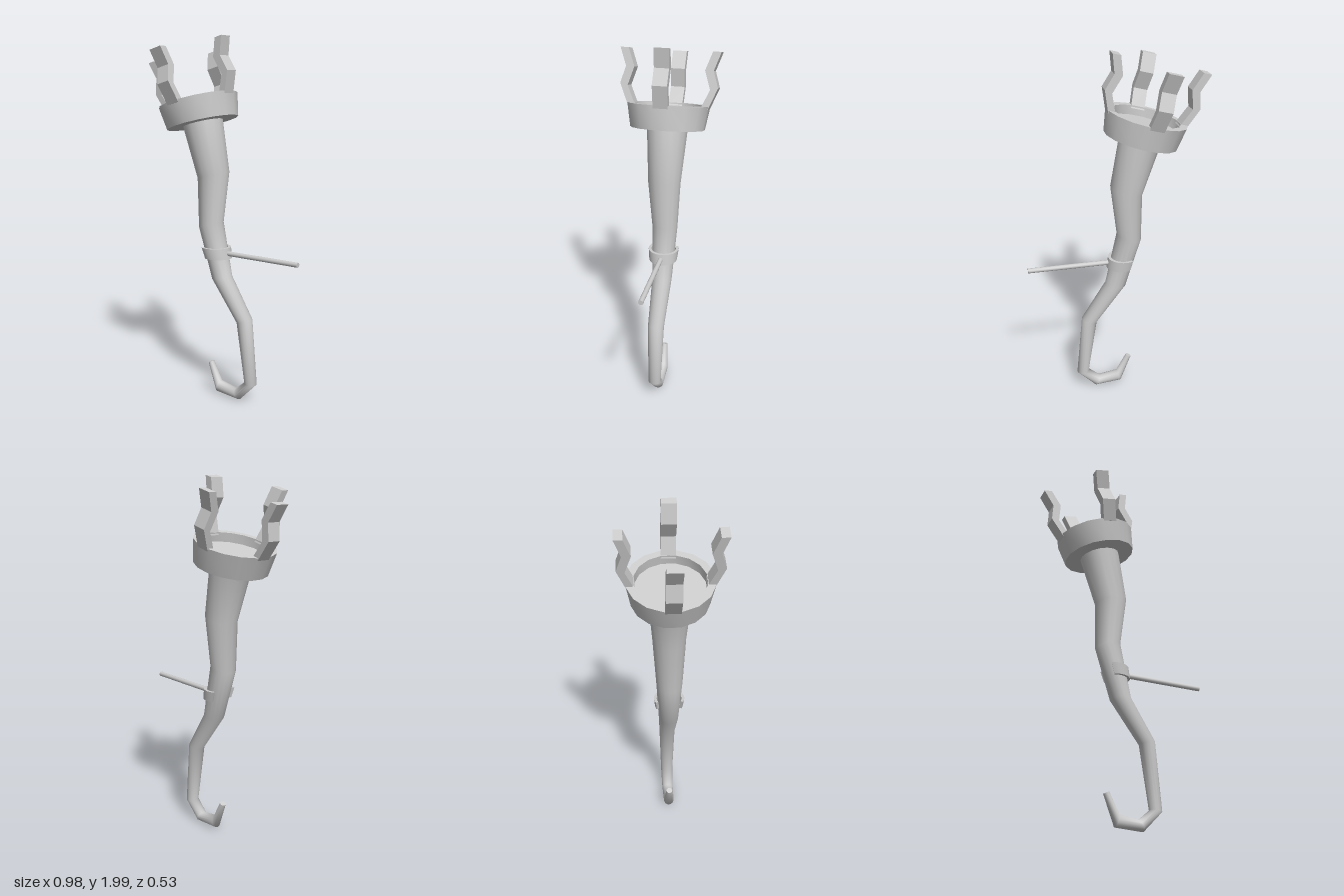
import * as THREE from 'three';
import { toCreasedNormals } from 'three/addons/utils/BufferGeometryUtils.js';

const material = new THREE.MeshStandardMaterial({ color: 0xcccccc });

function addMesh(parent, name, geometry) {
  const mesh = new THREE.Mesh(geometry, material);
  mesh.name = name;
  parent.add(mesh);
  return mesh;
}

// Crooked tapering stem: each row is [inner x, y, outer x, y, half depth]
function stemGeometry() {
  const rows = [
    [-0.25, 1.53, -0.03, 1.587, 0.112],
    [-0.237, 1.51, -0.02, 1.565, 0.11],
    [-0.143, 1.235, 0.03, 1.28, 0.089],
    [-0.14, 0.965, -0.005, 1.0, 0.071],
    [-0.053, 0.68, 0.06, 0.7, 0.056],
    [0.115, 0.455, 0.2, 0.478, 0.046],
    [0.167, 0.117, 0.235, 0.11, 0.036],
    [0.1, 0.06, 0.13, 0.003, 0.033],
    [-0.005, 0.08, -0.027, 0.013, 0.03],
    [-0.06, 0.187, -0.09, 0.174, 0.017],
  ];
  const sides = 16, pos = [], index = [];
  const ring = ([lx, ly, rx, ry, rz]) => {
    for (let j = 0; j < sides; j++) {
      const a = (j / sides) * Math.PI * 2, c = Math.cos(a) / 2;
      pos.push((lx + rx) / 2 + (rx - lx) * c, (ly + ry) / 2 + (ry - ly) * c, rz * Math.sin(a));
    }
  };
  rows.forEach(ring);
  for (let i = 0; i < rows.length - 1; i++) {
    for (let j = 0; j < sides; j++) {
      const a = i * sides + j, b = i * sides + (j + 1) % sides;
      index.push(a, b, a + sides, b, b + sides, a + sides);
    }
  }
  // flat cap on the hooked tip, with its own vertices
  const start = rows.length * sides;
  ring(rows[rows.length - 1]);
  for (let j = 1; j < sides - 1; j++) index.push(start, start + j, start + j + 1);
  const g = new THREE.BufferGeometry();
  g.setAttribute('position', new THREE.Float32BufferAttribute(pos, 3));
  g.setIndex(index);
  g.computeVertexNormals();
  return g;
}

// Open C-shaped band, widening upward and leaning with the stem
function collarGeometry() {
  const end = 2.06, shape = new THREE.Shape();
  shape.absarc(0, 0, 0.085, -end, end, false);
  shape.absarc(0, 0, 0.069, end, -end, true);
  shape.closePath();
  const h = 0.06;
  const g = new THREE.ExtrudeGeometry(shape, { depth: h, bevelEnabled: false, curveSegments: 12 });
  g.rotateX(-Math.PI / 2);
  const p = g.attributes.position;
  for (let i = 0; i < p.count; i++) {
    const t = p.getY(i) / h, s = 0.92 + 0.08 * t;
    p.setXYZ(i, p.getX(i) * s - 0.026 - 0.016 * t, 0.8 + p.getY(i), p.getZ(i) * s);
  }
  return toCreasedNormals(g, 0.7);
}

// Zigzag prong, thick along the radius
function prongGeometry() {
  const outline = [
    [0.174, -0.015], [0.214, -0.015], [0.26, 0.097], [0.232, 0.184],
    [0.266, 0.28], [0.222, 0.28], [0.187, 0.184], [0.219, 0.087],
  ].map(([x, y]) => new THREE.Vector2(x, y));
  const width = 0.077;
  const g = new THREE.ExtrudeGeometry(new THREE.Shape(outline), { depth: width, bevelEnabled: false });
  g.translate(0, 0, -width / 2);
  return g;
}

export function createModel() {
  const model = new THREE.Group();
  model.name = 'hookedStaff';

  addMesh(model, 'stem', stemGeometry());
  addMesh(model, 'collar', collarGeometry());

  // Side rod sticking out of the collar
  const rod = addMesh(model, 'sideRod', new THREE.CylinderGeometry(0.0135, 0.0135, 0.455, 12));
  rod.rotation.z = -Math.PI / 2;
  rod.position.set(0.265, 0.83, 0);

  // Tilted crown: shallow cup with four prongs
  const crown = new THREE.Group();
  crown.name = 'crown';
  crown.position.set(-0.163, 1.66, 0);
  crown.rotation.z = 0.253;
  model.add(crown);

  const profile = [[0, -0.126], [0.199, -0.126], [0.22, 0], [0.181, 0], [0.179, -0.05], [0, -0.05]]
    .map(([x, y]) => new THREE.Vector2(x, y));
  const cup = new THREE.LatheGeometry(profile, 16, Math.PI / 16);
  addMesh(crown, 'cup', toCreasedNormals(cup, 0.7));

  const prong = prongGeometry();
  for (let i = 0; i < 4; i++) {
    addMesh(crown, 'prong' + (i + 1), prong).rotation.y = (i * Math.PI) / 2;
  }
  return model;
}
